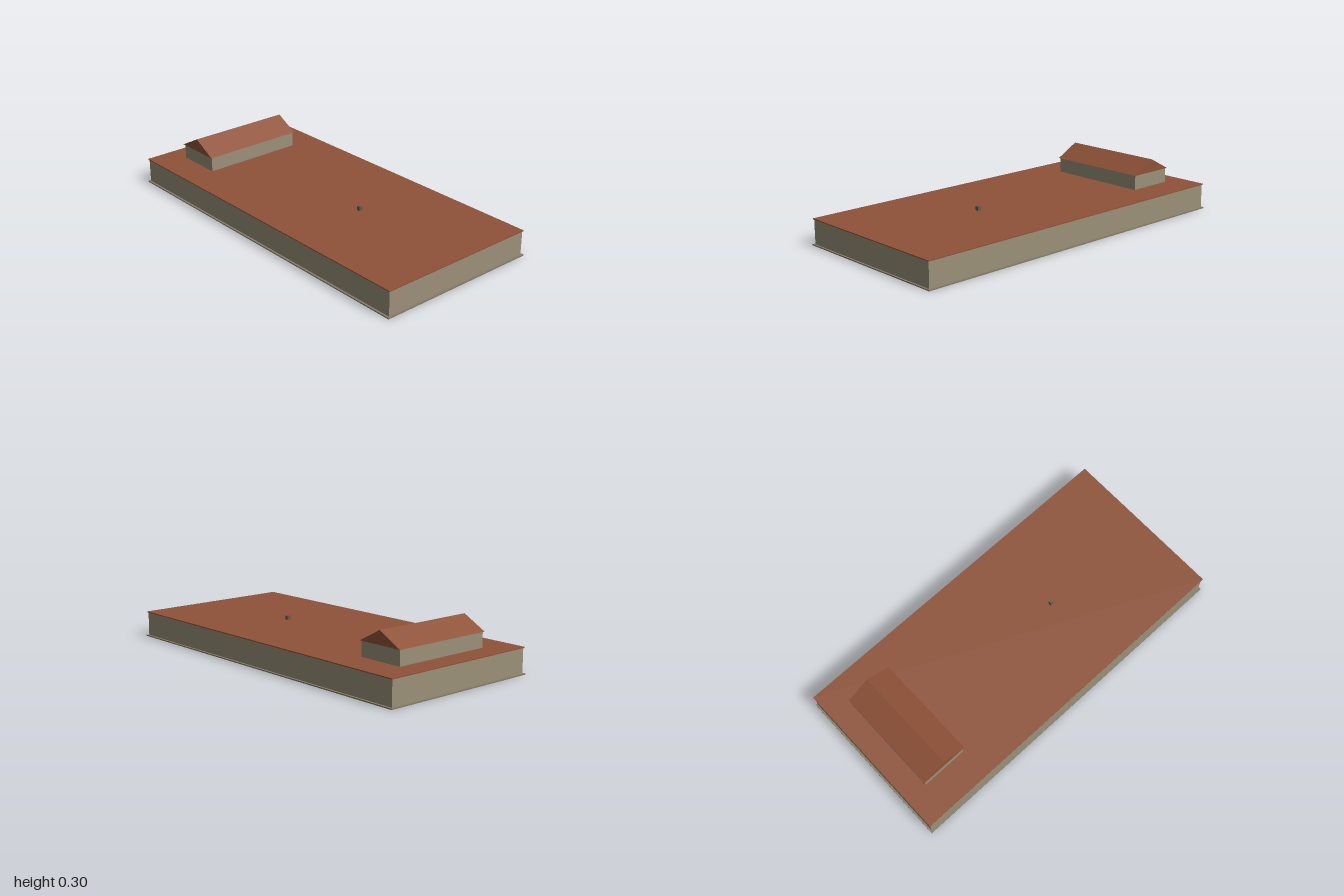
import * as THREE from 'three';

export function createModel() {
  const model = new THREE.Group();
  const wall = new THREE.MeshStandardMaterial({ color: 0x9c917a });
  const roof = new THREE.MeshStandardMaterial({ color: 0x8f5238 });
  const stone = new THREE.MeshStandardMaterial({ color: 0x857c6a });
  const dark = new THREE.MeshStandardMaterial({ color: 0x665a48 });

  // Box given by width, depth, bottom, top and z centre
  function box(name, material, w, d, y0, y1, z = 0) {
    const mesh = new THREE.Mesh(new THREE.BoxGeometry(w, y1 - y0, d), material);
    mesh.position.set(0, (y0 + y1) / 2, z);
    mesh.name = name;
    model.add(mesh);
  }

  // Long low hall: foundation, walls and flat roof
  box('foundation', stone, 0.94, 2, 0, 0.006);
  box('hallWalls', wall, 0.916, 1.98, 0.006, 0.138);
  box('flatRoof', roof, 0.926, 1.988, 0.138, 0.143);

  // Small vent on the flat roof
  box('roofVent', dark, 0.02, 0.018, 0.143, 0.165, 0.289);

  // Upper storey near the back
  const z = -0.74;
  box('upperWalls', wall, 0.578, 0.258, 0.143, 0.226, z);

  // Gable roof: triangular section extruded along x
  const length = 0.592;
  const section = new THREE.Shape();
  section.moveTo(-0.135, 0);
  section.lineTo(0.135, 0);
  section.lineTo(0, 0.072);
  section.closePath();
  const gable = new THREE.ExtrudeGeometry(section, { depth: length, bevelEnabled: false });
  gable.translate(0, 0, -length / 2).rotateY(Math.PI / 2);
  const gableRoof = new THREE.Mesh(gable, roof);
  gableRoof.position.set(0, 0.225, z);
  gableRoof.name = 'gableRoof';
  model.add(gableRoof);

  return model;
}
